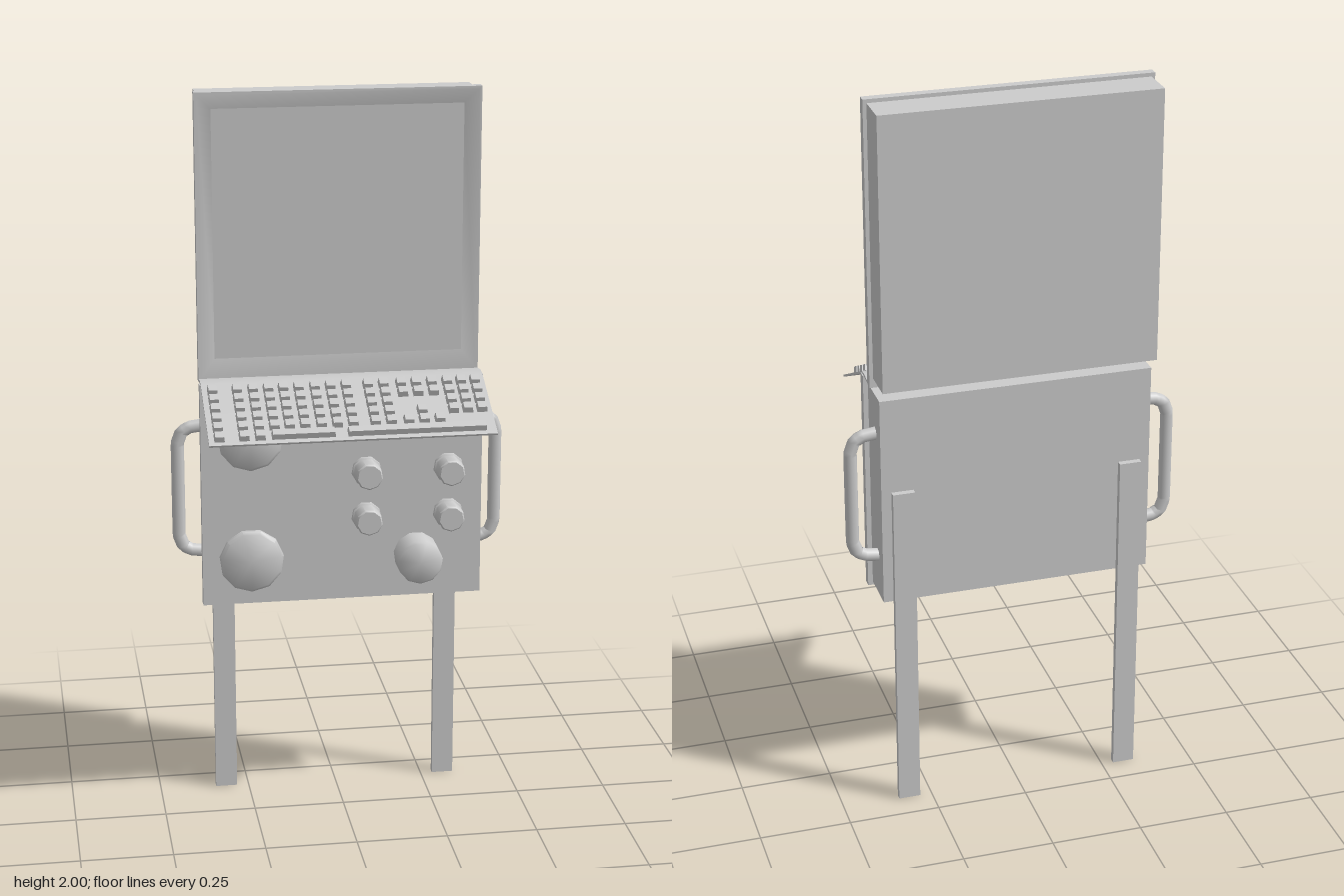
import * as THREE from 'three';
import { toCreasedNormals } from 'three/addons/utils/BufferGeometryUtils.js';

const grey = new THREE.MeshStandardMaterial({ color: 0xcccccc });

function add(parent, name, geometry, x = 0, y = 0, z = 0) {
  const mesh = new THREE.Mesh(geometry, grey);
  mesh.name = name;
  mesh.position.set(x, y, z);
  parent.add(mesh);
  return mesh;
}

// Box given by its limits on each axis
function addBox(parent, name, [x0, x1], [y0, y1], [z0, z1]) {
  return add(parent, name, new THREE.BoxGeometry(x1 - x0, y1 - y0, z1 - z0),
    (x0 + x1) / 2, (y0 + y1) / 2, (z0 + z1) / 2);
}

// Rectangular frame: sides, then a shallow slope running in to the screen
function frameGeometry() {
  const loops = [ // half width, bottom, top, depth
    [0.37, 1.24, 1.99, -0.1], [0.38, 1.23, 2, -0.1], [0.38, 1.23, 2, -0.075],
    [0.372, 1.238, 1.992, -0.075], [0.335, 1.285, 1.955, -0.086],
  ];
  const pos = [], index = [];
  for (const [w, b, t, z] of loops) pos.push(-w, b, z, w, b, z, w, t, z, -w, t, z);
  for (let i = 0; i < loops.length - 1; i++) {
    for (let j = 0; j < 4; j++) {
      const a = i * 4 + j, b = i * 4 + (j + 1) % 4;
      index.push(a, b, b + 4, a, b + 4, a + 4);
    }
  }
  const g = new THREE.BufferGeometry();
  g.setAttribute('position', new THREE.Float32BufferAttribute(pos, 3));
  g.setIndex(index);
  return toCreasedNormals(g, 0.6);
}

// Key cap that narrows toward the top
function keyGeometry(width, depth) {
  const g = new THREE.BoxGeometry(width, 0.016, depth);
  const p = g.attributes.position;
  for (let i = 0; i < p.count; i++) {
    if (p.getY(i) > 0) {
      p.setX(i, p.getX(i) - Math.sign(p.getX(i)) * 0.002);
      p.setZ(i, p.getZ(i) - Math.sign(p.getZ(i)) * 0.002);
    }
  }
  g.computeVertexNormals();
  return g;
}

// Turned control facing forward, from (radius, height) points
function knobGeometry(points, sides) {
  const g = new THREE.LatheGeometry(points.map(([r, h]) => new THREE.Vector2(r, h)), sides);
  g.rotateX(Math.PI / 2);
  return toCreasedNormals(g, 0.9);
}

function buildKeyboard() {
  const keyboard = new THREE.Group();
  keyboard.name = 'keyboard';

  // Bent plate: short flat ledge, then the sloping key deck
  const profile = [[-0.1, 1.23], [-0.04, 1.239], [-0.015, 1.236], [0.2, 1.131],
    [0.198, 1.126], [-0.017, 1.23], [-0.04, 1.232], [-0.1, 1.224]];
  const shape = new THREE.Shape(profile.map(([z, y]) => new THREE.Vector2(-z, y)));
  const plate = new THREE.ExtrudeGeometry(shape, { depth: 0.76, bevelEnabled: false });
  plate.translate(0, 0, -0.38);
  plate.rotateY(Math.PI / 2);
  add(keyboard, 'keyboardPlate', toCreasedNormals(plate, 0.6));

  // Keys are set out on the tilted deck
  const angle = Math.atan2(0.105, 0.215);
  const deck = new THREE.Group();
  deck.name = 'keys';
  deck.position.set(0, 1.236, -0.015);
  deck.rotation.x = angle;
  keyboard.add(deck);
  const columns = [-0.352, -0.287, -0.245, -0.204, -0.164, -0.123, -0.08, -0.038, 0.004,
    0.063, 0.105, 0.152, 0.193, 0.235, 0.277, 0.315, 0.353];
  const rows = [
    '11111111111111111',
    '11111111111111111',
    '11111111111000111',
    '11111111111010111',
    '11111111111111000',
    '11100000000000000',
  ];
  const key = keyGeometry(0.027, 0.027);
  const rowZ = (r) => (0.03 + r * 0.0325) / Math.cos(angle);
  rows.forEach((row, r) => columns.forEach((x, c) => {
    if (row[c] === '1') add(deck, 'key', key, x, 0.009, rowZ(r));
  }));
  for (const [x0, x1] of [[-0.215, -0.048], [-0.015, 0.353]]) {
    add(deck, 'barKey', keyGeometry(x1 - x0, 0.025), (x0 + x1) / 2, 0.009, rowZ(5));
  }
  return keyboard;
}

export function createModel() {
  const model = new THREE.Group();
  model.name = 'controlConsole';

  // Display
  addBox(model, 'displayHousing', [-0.37, 0.37], [1.25, 1.99], [-0.2, -0.1]);
  add(model, 'displayFrame', frameGeometry());
  add(model, 'screen', new THREE.PlaneGeometry(0.67, 0.67), 0, 1.62, -0.086);
  addBox(model, 'displayFrameBack', [-0.379, 0.379], [1.231, 1.999], [-0.1, -0.09]);

  // Cabinet and front panel
  addBox(model, 'cabinet', [-0.37, 0.37], [0.62, 1.21], [-0.16, -0.04]);
  addBox(model, 'frontPanel', [-0.383, 0.383], [0.61, 1.232], [-0.04, -0.015]);

  model.add(buildKeyboard());

  // Flat dials, small knobs and one large knob
  const dial = knobGeometry([[0.088, 0], [0.088, 0.012], [0.08, 0.019], [0, 0.021]], 11);
  for (const y of [1.08, 0.735]) add(model, 'dial', dial, -0.25, y, -0.015);
  const knob = knobGeometry([[0.041, 0], [0.041, 0.012], [0.037, 0.014], [0.037, 0.058], [0.033, 0.063], [0, 0.063]], 9);
  for (const x of [0.065, 0.29]) {
    for (const y of [0.975, 0.845]) add(model, 'smallKnob', knob, x, y, -0.015);
  }
  const bigKnob = knobGeometry([[0.062, 0], [0.062, 0.075], [0.056, 0.082], [0, 0.082]], 11);
  add(model, 'largeKnob', bigKnob, 0.203, 0.73, -0.015);

  // Side handles and rear legs, mirrored
  const half = [[0.365, 0.18], [0.405, 0.175], [0.427, 0.162], [0.438, 0.132]];
  const points = [...half, ...half.map(([x, y]) => [x, -y]).reverse()]
    .map(([x, y]) => new THREE.Vector3(x, y, 0));
  const path = new THREE.CurvePath();
  for (let i = 1; i < points.length; i++) path.add(new THREE.LineCurve3(points[i - 1], points[i]));
  const handle = new THREE.TubeGeometry(path, 48, 0.018, 8);
  for (const side of [1, -1]) {
    const name = side > 0 ? 'left' : 'right';
    const mesh = add(model, name + 'Handle', handle, 0, 0.917, -0.105);
    if (side < 0) mesh.rotation.z = Math.PI;
    add(model, name + 'Leg', new THREE.BoxGeometry(0.06, 0.945, 0.017), side * 0.313, 0.4725, -0.1685);
  }
  return model;
}
